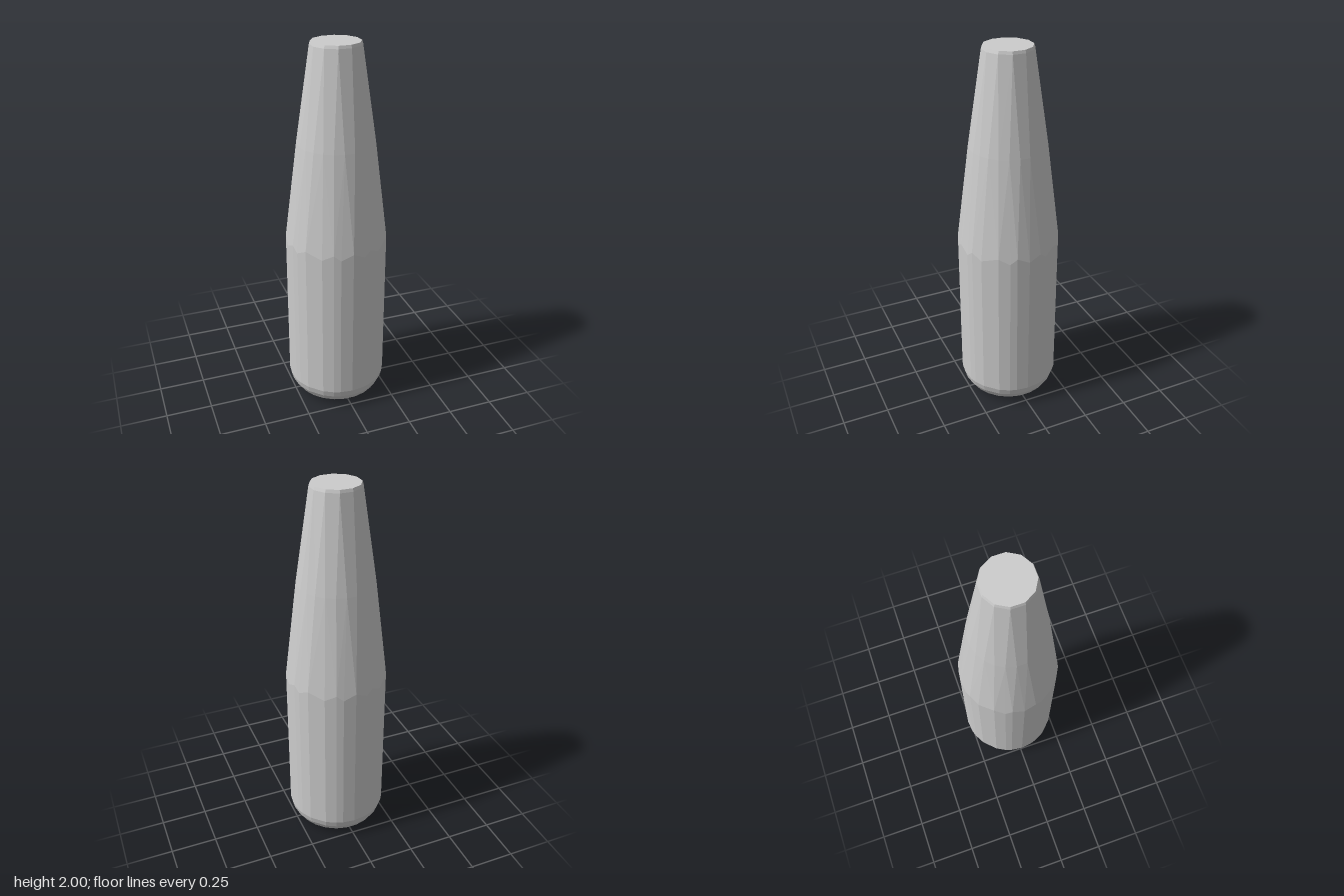
import * as THREE from 'three';
import { ConvexGeometry } from 'three/addons/geometries/ConvexGeometry.js';

const rad = THREE.MathUtils.degToRad;

// Evenly spaced angles in degrees
const even = (n, offset = 0) => Array.from({ length: n }, (_, i) => offset + (i * 360) / n);

// Uneven corners of the body, repeated in each quadrant
const bodyAngles = [0, 90, 180, 270].flatMap((q) => [0, 14, 22, 35, 55, 68, 76].map((a) => q + a));

// A ring of points; every other corner can be raised by 'step'
function ring(r, y, angles, step = 0) {
  return angles.map((a, i) =>
    new THREE.Vector3(r * Math.cos(rad(a)), y + (i % 2) * step, r * Math.sin(rad(a))));
}

export function createModel() {
  const model = new THREE.Group();
  model.name = 'bottle';

  // One faceted convex shell stretched over the rings
  const points = [
    // rounded base
    ...ring(0.172, 0, even(24)),
    ...ring(0.236, 0.033, even(24, 7.5)),
    ...ring(0.261, 0.073, bodyAngles),
    // straight body up to the uneven shoulder line
    ...ring(0.271, 0.11, bodyAngles),
    ...ring(0.271, 0.94, bodyAngles, 0.03),
    // tapering neck
    ...ring(0.204, 1.49, even(24, 7.5)),
    // small bevel and flat twelve-sided top
    ...ring(0.131, 1.985, even(12, 15)),
    ...ring(0.126, 2, even(12, 15)),
  ];
  const material = new THREE.MeshStandardMaterial({ color: 0xcccccc, flatShading: true });
  const shell = new THREE.Mesh(new ConvexGeometry(points), material);
  shell.name = 'bottleShell';
  model.add(shell);
  return model;
}
